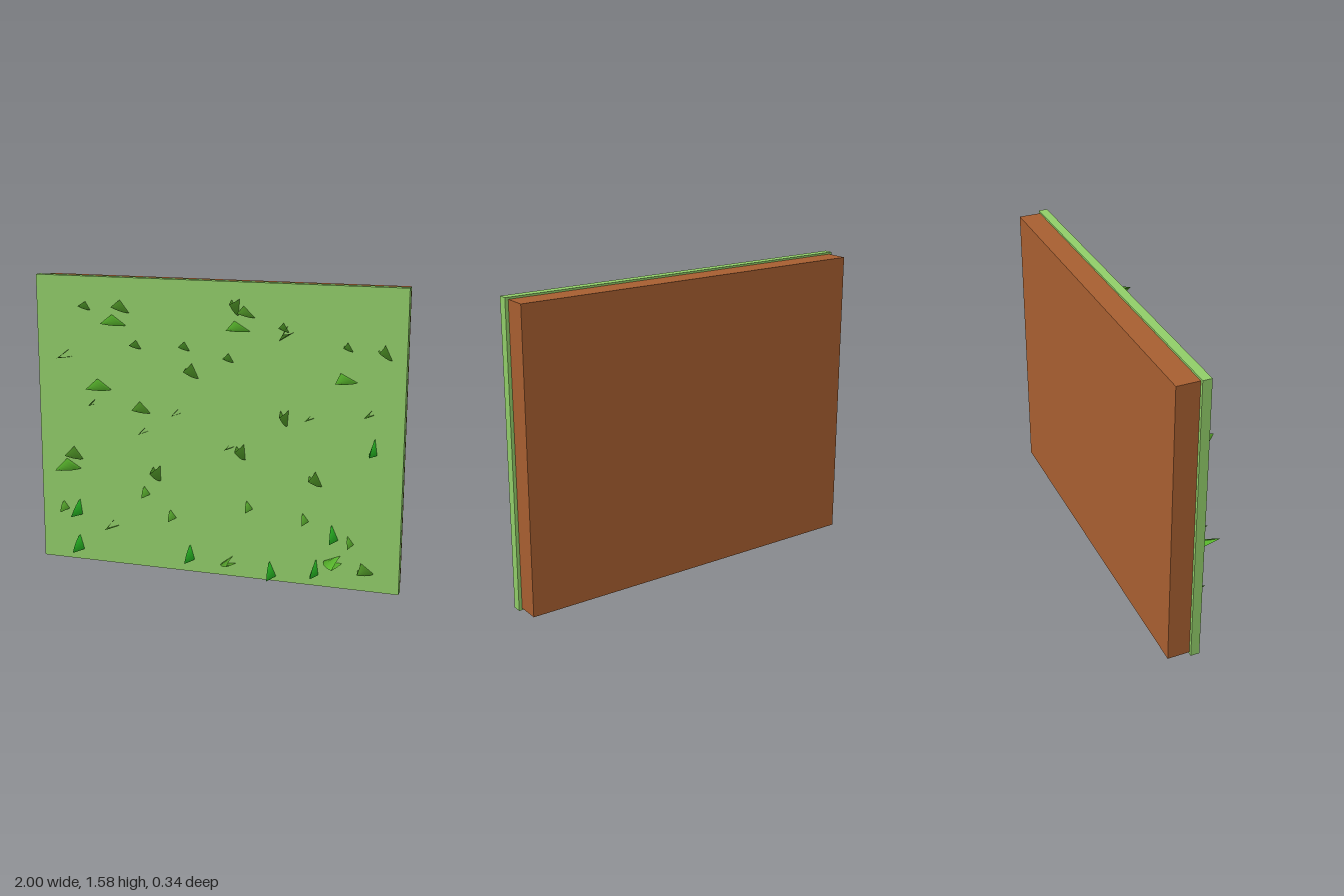
import * as THREE from 'three';

const SEGMENTS = 6;

// Folded, curved leaf: V-shaped section tapering from the base to a bent tip
function bladeGeometry(half, width, length) {
  const pos = [], index = [];
  for (let i = 0; i <= SEGMENTS; i++) {
    const t = i / SEGMENTS;
    const fold = half - 1.7 * half * Math.pow(t, 1.8);
    const edge = -half + 0.3 * half * t;
    const v = width * (1 - Math.pow(t, 1.5));
    const z = length * t;
    pos.push(edge, v, z, fold, 0, z, edge, -v, z);
    if (i < SEGMENTS) {
      for (const k of [i * 3, i * 3 + 1]) {
        index.push(k, k + 3, k + 1, k + 1, k + 3, k + 4);
      }
    }
  }
  const geo = new THREE.BufferGeometry();
  geo.setAttribute('position', new THREE.Float32BufferAttribute(pos, 3));
  geo.setIndex(index);
  geo.computeVertexNormals();
  return geo;
}

function seeded(seed) {
  return () => {
    seed = (seed * 16807) % 2147483647;
    return seed / 2147483647;
  };
}

// Small blades: one per cell of a loose grid over the turf
function scatter(columns, rows) {
  const random = seeded(41);
  const spots = [];
  for (let c = 0; c < columns; c++) {
    for (let r = 0; r < rows; r++) {
      const x = ((c + 0.2 + 0.6 * random()) / columns - 0.5) * 1.85;
      const y = 0.1 + ((r + 0.2 + 0.6 * random()) / rows) * 1.42;
      spots.push([x, y]);
    }
  }
  return spots;
}

function slab(name, w, h, zBack, zFront, color) {
  const mesh = new THREE.Mesh(
    new THREE.BoxGeometry(w, h, zFront - zBack),
    new THREE.MeshStandardMaterial({ color })
  );
  mesh.name = name;
  mesh.position.set(0, 0.79, (zBack + zFront) / 2);
  return mesh;
}

// Returns a planter for one kind of blade; neighbours turn slightly apart
function bladeKind(parent, name, half, width, length, color) {
  const geo = bladeGeometry(half, width, length);
  const mat = new THREE.MeshStandardMaterial({ color, side: THREE.DoubleSide });
  return (angle, spread, spots) => spots.forEach(([x, y], i) => {
    const blade = new THREE.Mesh(geo, mat);
    blade.name = name;
    blade.position.set(x, y, -0.006);
    blade.rotation.z = THREE.MathUtils.degToRad(angle + spread * ((i % 3) - 1));
    parent.add(blade);
  });
}

export function createModel() {
  const model = new THREE.Group();
  model.name = 'grassPatch';

  // Soil block and the slightly larger turf sheet on its front
  model.add(slab('soil', 1.966, 1.56, -0.17, -0.05, 0xa65e30));
  model.add(slab('turf', 2, 1.58, -0.052, -0.005, 0x90cc68));

  // Grass blades rooted in the turf
  const grass = new THREE.Group();
  grass.name = 'grass';
  model.add(grass);

  const long = bladeKind(grass, 'longBlade', 0.047, 0.021, 0.172, 0x58b52c);
  long(-18, 4, [[-0.53, 1.345], [0.15, 1.345], [0.71, 1.11], [-0.62, 0.995], [-0.81, 0.54]]);
  long(190, 0, [[0.65, 0.15]]);

  const medium = bladeKind(grass, 'mediumBlade', 0.041, 0.021, 0.12, 0x559f2a);
  medium(-30, 8, [[-0.5, 1.42], [0.185, 1.42], [0.83, 0.115], [-0.785, 0.605], [-0.39, 0.885]]);
  medium(-50, 0, [[0.9, 1.25], [0.56, 0.575], [-0.11, 1.1]]);
  medium(-75, 5, [[0.39, 0.89], [-0.31, 0.535], [0.16, 0.69], [0.125, 1.45]]);
  medium(215, 12, [[-0.845, 1.15], [-0.59, 0.215], [0.38, 1.32], [0.08, 0.08]]);

  const bright = bladeKind(grass, 'brightBlade', 0.042, 0.02, 0.115, 0x22a31e);
  bright(93, 8, [[-0.78, 0.305], [-0.78, 0.1], [0.32, 0.065], [0.56, 0.105],
    [-0.13, 0.11], [0.65, 0.3], [0.85, 0.775]]);

  const short = bladeKind(grass, 'shortBlade', 0.026, 0.012, 0.095, 0x4f9a28);
  short(215, 100, scatter(6, 3));

  return model;
}
